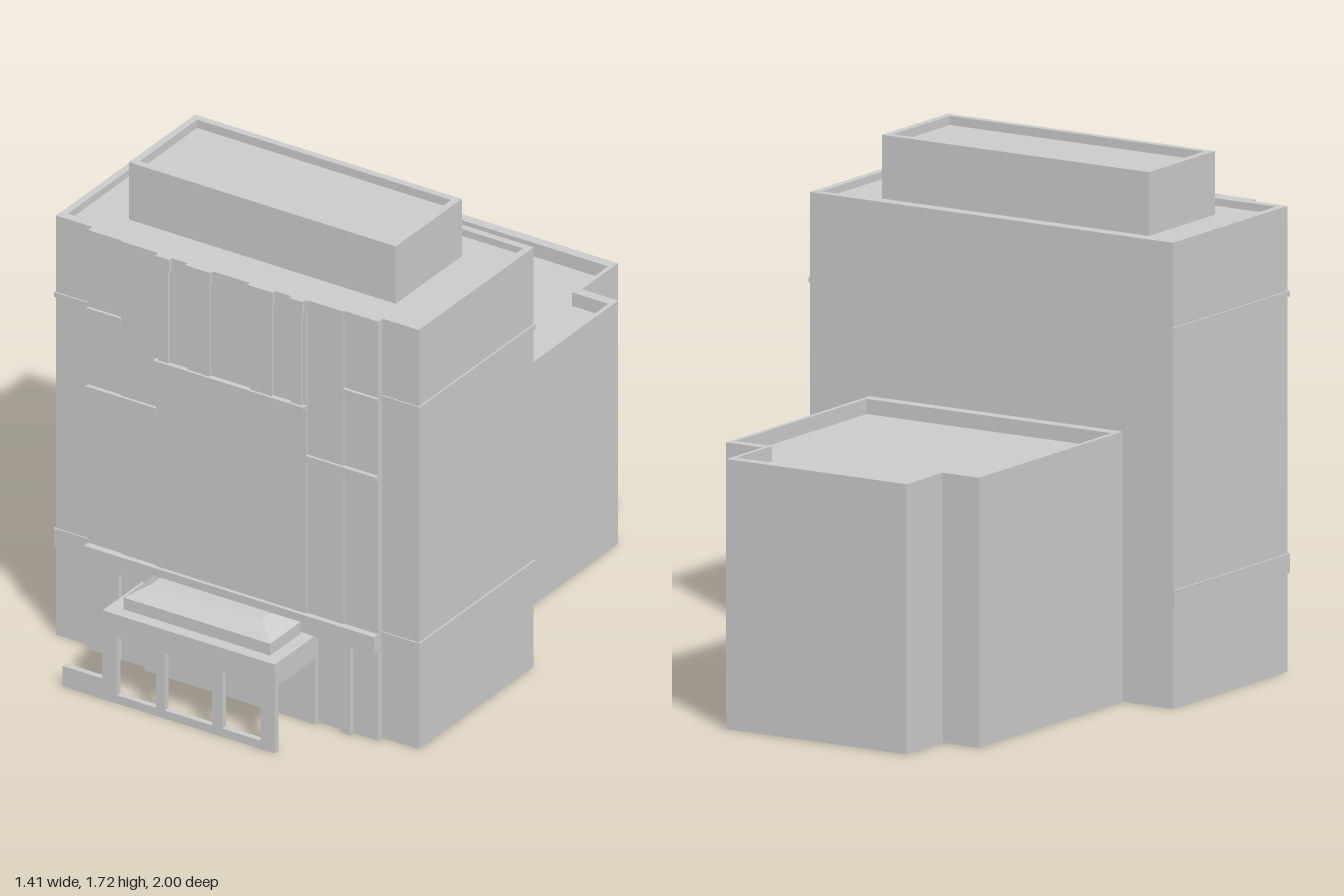
import * as THREE from 'three';

const mat = new THREE.MeshStandardMaterial({ color: 0xcccccc, flatShading: true, side: THREE.DoubleSide });

// Corners of a rectangle in plan, as [x, z], walked so that the walls face outwards
const rect = (x, z0, z1) => [[-x, z1], [x, z1], [x, z0], [-x, z0]];

// Strip of walls through rings of equal point count, each ring given as { plan, y }
function loft(rings) {
  const pos = [], idx = [], n = rings[0].plan.length;
  for (const { plan, y } of rings) for (const [x, z] of plan) pos.push(x, y, z);
  for (let r = 0; r < rings.length - 1; r++) {
    for (let i = 0; i < n; i++) {
      const a = r * n + i, b = r * n + (i + 1) % n;
      idx.push(a, b, b + n, a, b + n, a + n);
    }
  }
  const g = new THREE.BufferGeometry();
  g.setAttribute('position', new THREE.Float32BufferAttribute(pos, 3));
  g.setIndex(idx);
  const flat = g.toNonIndexed();
  flat.computeVertexNormals();
  return flat;
}

// Horizontal slab face filling a plan at height y
function cap(plan, y) {
  const shape = new THREE.Shape(plan.map(([x, z]) => new THREE.Vector2(x, -z)));
  return new THREE.ShapeGeometry(shape).rotateX(-Math.PI / 2).translate(0, y, 0);
}

export function createModel() {
  const model = new THREE.Group();

  const add = (name, geometry, parent = model) => {
    const mesh = new THREE.Mesh(geometry, mat);
    mesh.name = name;
    parent.add(mesh);
    return mesh;
  };
  const box = (name, x0, x1, y0, y1, z0, z1, parent) =>
    add(name, new THREE.BoxGeometry(x1 - x0, y1 - y0, z1 - z0)
      .translate((x0 + x1) / 2, (y0 + y1) / 2, (z0 + z1) / 2), parent);
  const pair = (name, x0, x1, ...rest) => {
    box(name + 'Left', x0, x1, ...rest);
    box(name + 'Right', -x1, -x0, ...rest);
  };

  // Block with open bottom, parapet and sunken roof
  function block(name, outer, inner, y0, y1, roofY) {
    const g = new THREE.Group();
    g.name = name;
    add(name + 'Walls', loft([
      { plan: outer, y: y0 }, { plan: outer, y: y1 },
      { plan: inner, y: y1 }, { plan: inner, y: roofY },
    ]), g);
    add(name + 'Roof', cap(inner, roofY), g);
    model.add(g);
  }

  // Main masses
  block('tower', rect(0.7, 0.05, 0.72), rect(0.675, 0.075, 0.69), 0, 1.535, 1.51);
  block('penthouse', rect(0.515, 0.19, 0.575), rect(0.49, 0.215, 0.55), 1.51, 1.72, 1.69);
  const wing = (xl, xr, nl, nr, front, step, back) =>
    [[xl, front], [xr, front], [xr, step], [nr, step], [nr, back], [nl, back], [nl, step], [xl, step]];
  block('rearWing',
    wing(-0.505, 0.47, -0.365, 0.33, 0.05, -0.79, -1),
    wing(-0.49, 0.455, -0.35, 0.315, 0.01, -0.755, -0.965), 0, 0.89, 0.84);

  // Thin bands wrapping the tower sides and front corners
  for (const [y0, y1] of [[0.325, 0.39], [1.237, 1.255]]) {
    pair('sideBand', 0.7, 0.706, y0, y1, 0.05, 0.725);
    pair('cornerBand', 0.56, 0.7, y0, y1, 0.72, 0.725);
  }

  // Facade stepping forward towards the middle
  box('facadeOuter', -0.56, 0.56, 0, 1.535, 0.72, 0.745);
  box('facadeMiddle', -0.43, 0.43, 0.39, 1.535, 0.745, 0.75);
  box('facadeCentre', -0.29, 0.29, 0.39, 1.535, 0.75, 0.756);
  pair('lowerLedge', 0.29, 0.56, 0.95, 0.97, 0.745, 0.76);
  pair('upperLedge', 0.43, 0.56, 1.237, 1.255, 0.745, 0.756);

  // Ground floor: lintel, entrance wall and piers
  box('lintel', -0.56, 0.56, 0.325, 0.39, 0.745, 0.77);
  box('entranceWall', -0.33, 0.33, 0, 0.325, 0.745, 0.765);
  pair('groundPier', 0.43, 0.465, 0, 0.325, 0.745, 0.765);

  // Upper fins with wider heads, on a sill
  box('finSill', -0.29, 0.29, 1.138, 1.152, 0.75, 0.775);
  for (const [x0, x1] of [[0.237, 0.277], [0.078, 0.163]]) {
    pair('fin', x0, x1, 1.152, 1.49, 0.756, 0.766);
    pair('finHead', x0 - 0.006, x1 + 0.006, 1.49, 1.535, 0.756, 0.77);
  }

  // Portico: arcade screen with three openings, low side wall and canopy
  const portico = new THREE.Group();
  portico.name = 'portico';
  model.add(portico);
  const rectPath = (P, x0, x1, y0, y1) =>
    new P([[x0, y0], [x1, y0], [x1, y1], [x0, y1]].map(p => new THREE.Vector2(...p)));
  const screen = rectPath(THREE.Shape, -0.335, 0.33, 0, 0.325);
  for (const [x0, x1] of [[-0.28, -0.13], [-0.095, 0.088], [0.127, 0.275]]) {
    screen.holes.push(rectPath(THREE.Path, x0, x1, 0.03, 0.24));
  }
  add('arcadeScreen', new THREE.ExtrudeGeometry(screen, { depth: 0.02, bevelEnabled: false })
    .translate(0, 0, 0.98), portico);
  box('lowWall', -0.49, -0.335, 0, 0.075, 0.98, 1, portico);
  box('canopy', -0.335, 0.33, 0.24, 0.325, 0.765, 0.98, portico);

  // Hipped skylight on the canopy
  const base = rect(0.283, 0.78, 0.957), top = rect(0.215, 0.845, 0.9);
  add('skylightSides', loft([{ plan: base, y: 0.325 }, { plan: base, y: 0.368 }, { plan: top, y: 0.41 }]), portico);
  add('skylightTop', cap(top, 0.41), portico);

  return model;
}
